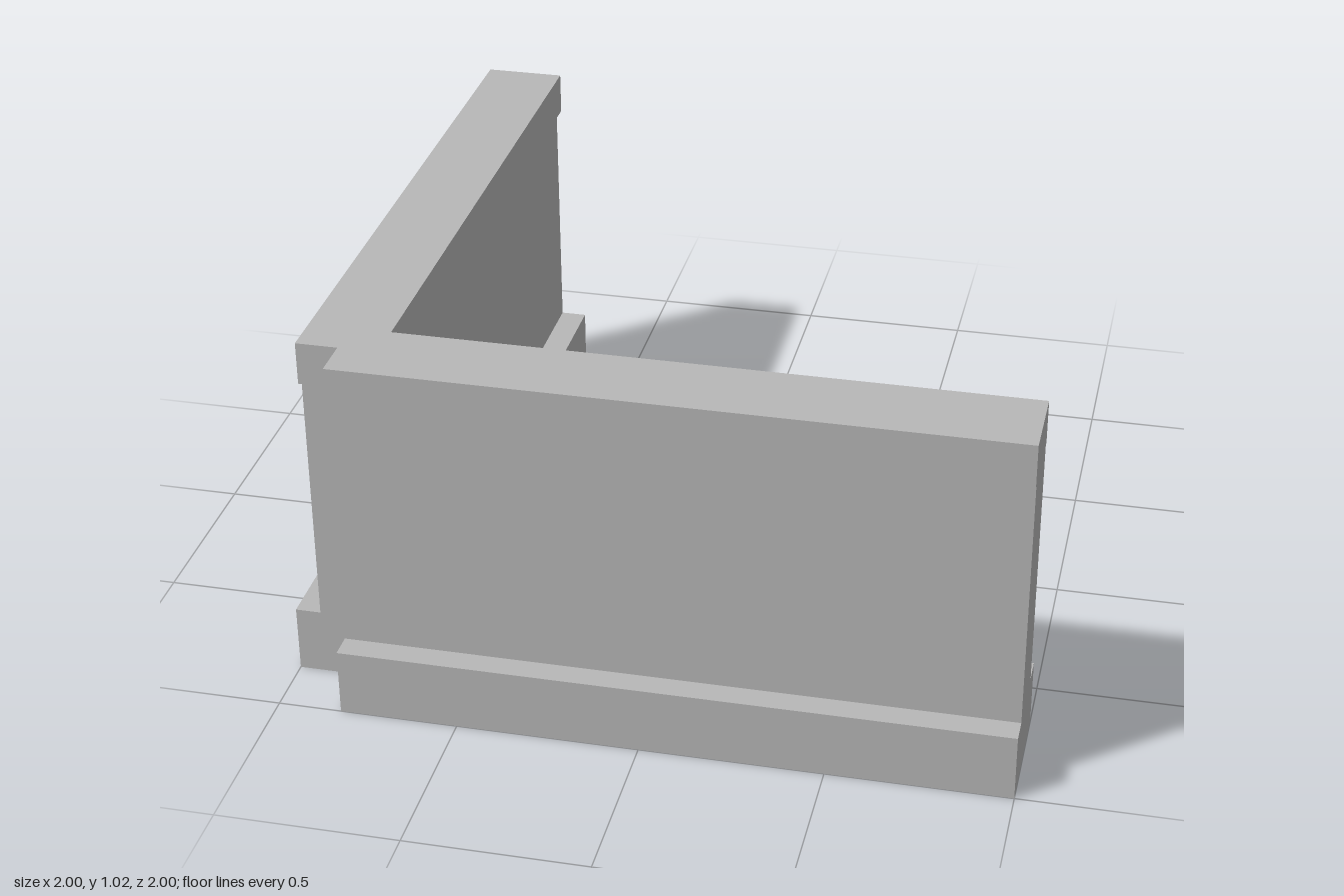
import * as THREE from 'three';

const NOTCH = -0.825; // both outer faces stop here, leaving a stepped corner

// L-shaped course; outer and inner are distances of its faces from the centre
function course(name, outer, inner, bottom, top, material) {
  const plan = [
    [-outer, 1], [-outer, NOTCH], [NOTCH, NOTCH], [NOTCH, -outer],
    [1, -outer], [1, -inner], [-inner, -inner], [-inner, 1],
  ];
  const shape = new THREE.Shape(plan.map(([x, y]) => new THREE.Vector2(x, y)));
  const geometry = new THREE.ExtrudeGeometry(shape, { depth: top - bottom, bevelEnabled: false });
  geometry.rotateX(-Math.PI / 2);
  geometry.translate(0, bottom, 0);
  const mesh = new THREE.Mesh(geometry, material);
  mesh.name = name;
  return mesh;
}

export function createModel() {
  const model = new THREE.Group();
  model.name = 'cornerWall';
  const stone = new THREE.MeshStandardMaterial({ color: 0xb8b8b8 });
  stone.name = 'grey stone';

  model.add(
    course('basePlinth', 1, 0.655, 0, 0.19, stone),
    course('wall', 0.93, 0.73, 0.19, 0.905, stone),
    course('copingCap', 0.94, 0.715, 0.905, 1.025, stone),
  );
  return model;
}
